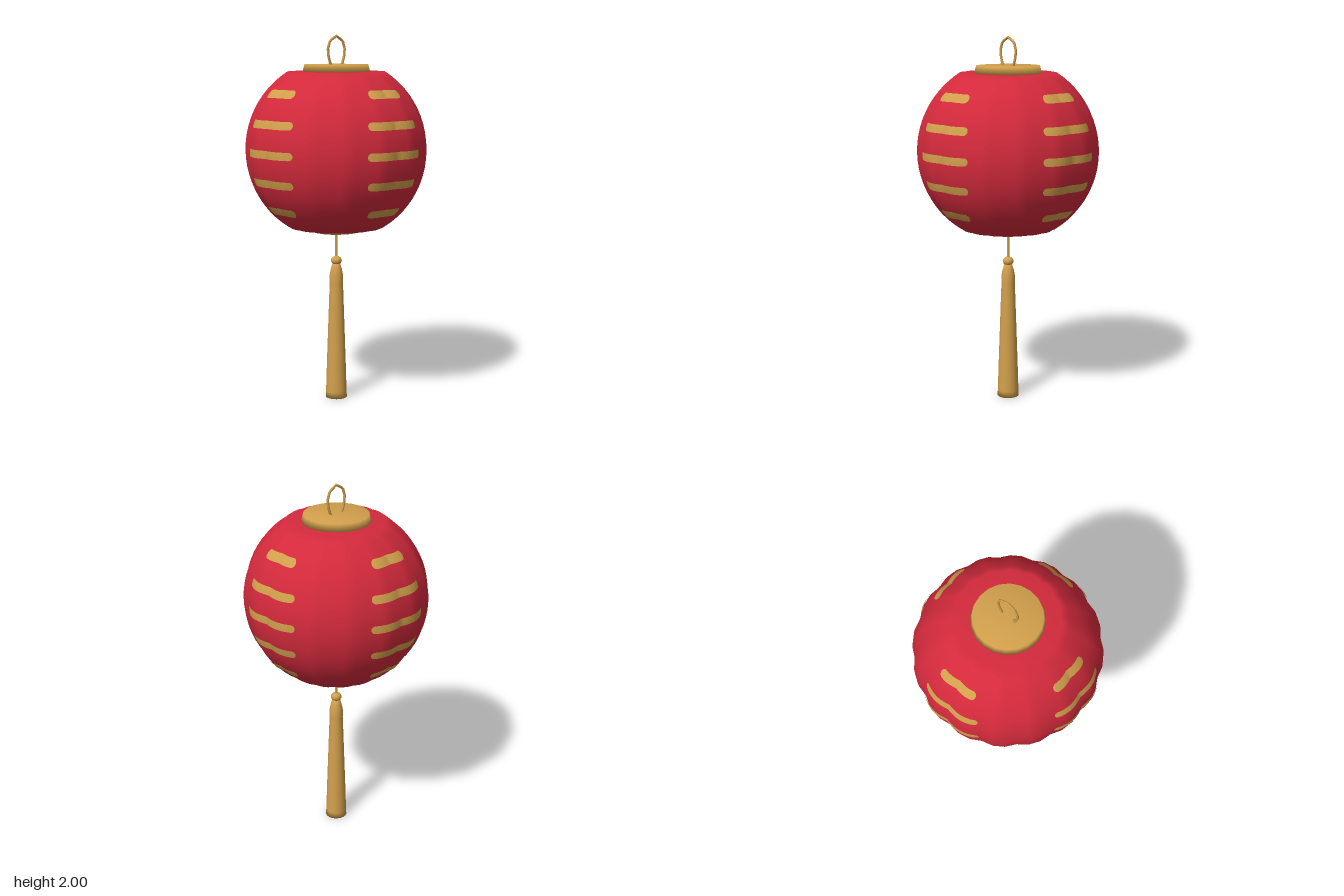
import * as THREE from 'three';
import { mergeVertices } from 'three/addons/utils/BufferGeometryUtils.js';

const CENTER_Y = 1.387, RADIUS = 0.478, HALF_HEIGHT = 0.495;

// Scalloped paper: 16 lobes with valleys on the axes
const lobe = (a) => 1 + 0.03 * Math.abs(Math.sin(8 * a));
const radiusAt = (y) => RADIUS * Math.sqrt(1 - ((y - CENTER_Y) / HALF_HEIGHT) ** 2);

function lathe(points, segments) {
  return new THREE.LatheGeometry(points.map(([r, y]) => new THREE.Vector2(r, y)), segments);
}

function bodyGeometry() {
  const points = [[0.1, 0.972]];
  const limit = 1.008; // latitude where the globe is cut flat
  for (let i = 0; i <= 22; i++) {
    const t = -limit + (2 * limit * i) / 22;
    points.push([RADIUS * Math.cos(t), CENTER_Y + HALF_HEIGHT * Math.sin(t)]);
  }
  points.push([0.1, 1.803]);
  let geo = lathe(points, 48);
  const p = geo.attributes.position;
  for (let i = 0; i < p.count; i++) {
    const s = lobe(Math.atan2(p.getX(i), p.getZ(i)));
    p.setX(i, p.getX(i) * s);
    p.setZ(i, p.getZ(i) * s);
  }
  geo.deleteAttribute('uv');
  geo.deleteAttribute('normal');
  geo = mergeVertices(geo, 1e-4);
  geo.computeVertexNormals();
  return geo;
}

// Thin round-ended band that follows the scalloped surface
function stripeGeometry(y0, halfWidth) {
  const cols = 32, rows = 4, halfH = 0.021;
  const halfAngle = Math.asin(halfWidth / (radiusAt(y0) * 1.015));
  const capAngle = 0.02 / radiusAt(y0);
  const pos = [], index = [];
  for (let i = 0; i <= cols; i++) {
    const a = -halfAngle * Math.cos((Math.PI * i) / cols);
    const e = Math.max(0, (Math.abs(a) - halfAngle + capAngle) / capAngle);
    const h = halfH * Math.sqrt(Math.max(0, 1 - e * e));
    for (let j = 0; j <= rows; j++) {
      const y = y0 + h * ((2 * j) / rows - 1);
      const r = radiusAt(y) * lobe(a) + 0.003;
      pos.push(r * Math.sin(a), y, r * Math.cos(a));
      if (i < cols && j < rows) {
        const k = i * (rows + 1) + j, n = k + rows + 1;
        index.push(k, n, n + 1, k, n + 1, k + 1);
      }
    }
  }
  const geo = new THREE.BufferGeometry();
  geo.setAttribute('position', new THREE.Float32BufferAttribute(pos, 3));
  geo.setIndex(index);
  geo.computeVertexNormals();
  return geo;
}

export function createModel() {
  const group = new THREE.Group();
  group.name = 'paperLantern';
  const red = new THREE.MeshStandardMaterial({ color: 0xd42a3c });
  red.name = 'red paper';
  const gold = new THREE.MeshStandardMaterial({ color: 0xd2a04c });
  gold.name = 'gold';

  const add = (name, geo, mat, parent = group) => {
    const mesh = new THREE.Mesh(geo, mat);
    mesh.name = name;
    parent.add(mesh);
    return mesh;
  };

  add('lanternBody', bodyGeometry(), red);

  // Five stripes on each of the four sides
  const rows = [[1.695, 0.105], [1.54, 0.163], [1.387, 0.18], [1.233, 0.163], [1.079, 0.105]];
  const stripes = rows.map(([y, w]) => stripeGeometry(y, w));
  for (let side = 0; side < 4; side++) {
    const panel = new THREE.Group();
    panel.name = 'stripePanel';
    panel.rotation.y = (side * Math.PI) / 2;
    stripes.forEach((geo) => add('stripe', geo, gold, panel));
    group.add(panel);
  }

  // End collars
  add('topCollar', lathe([[0, 1.79], [0.183, 1.8], [0.172, 1.843], [0, 1.843]], 20), gold);
  add('bottomCollar', lathe([[0, 0.94], [0.135, 0.94], [0.112, 0.975], [0, 0.975]], 20), gold);

  // Faceted hanging loop
  const half = [[0.03, 1.835], [0.042, 1.848], [0.055, 1.885], [0.059, 1.925], [0.045, 1.968]];
  const loop = [...half, [0, 1.993], ...half.slice().reverse().map(([x, y]) => [-x, y])]
    .map(([x, y]) => new THREE.Vector3(x, y, 0));
  const path = new THREE.CurvePath();
  for (let i = 0; i < loop.length - 1; i++) path.add(new THREE.LineCurve3(loop[i], loop[i + 1]));
  add('hangingLoop', new THREE.TubeGeometry(path, 20, 0.007, 6), gold);

  // Cord, knot and tassel
  const cord = add('cord', new THREE.CylinderGeometry(0.007, 0.007, 0.19, 8), gold);
  cord.position.y = 0.865;
  const knot = add('knot', new THREE.SphereGeometry(0.03, 16, 10), gold);
  knot.position.y = 0.775;
  knot.scale.y = 0.83;
  add('tassel', lathe([
    [0, 0], [0.06, 0], [0.058, 0.035], [0.053, 0.2], [0.046, 0.4], [0.039, 0.6],
    [0.037, 0.65], [0.038, 0.69], [0.03, 0.73], [0.02, 0.762], [0, 0.765],
  ], 18), gold);

  return group;
}
